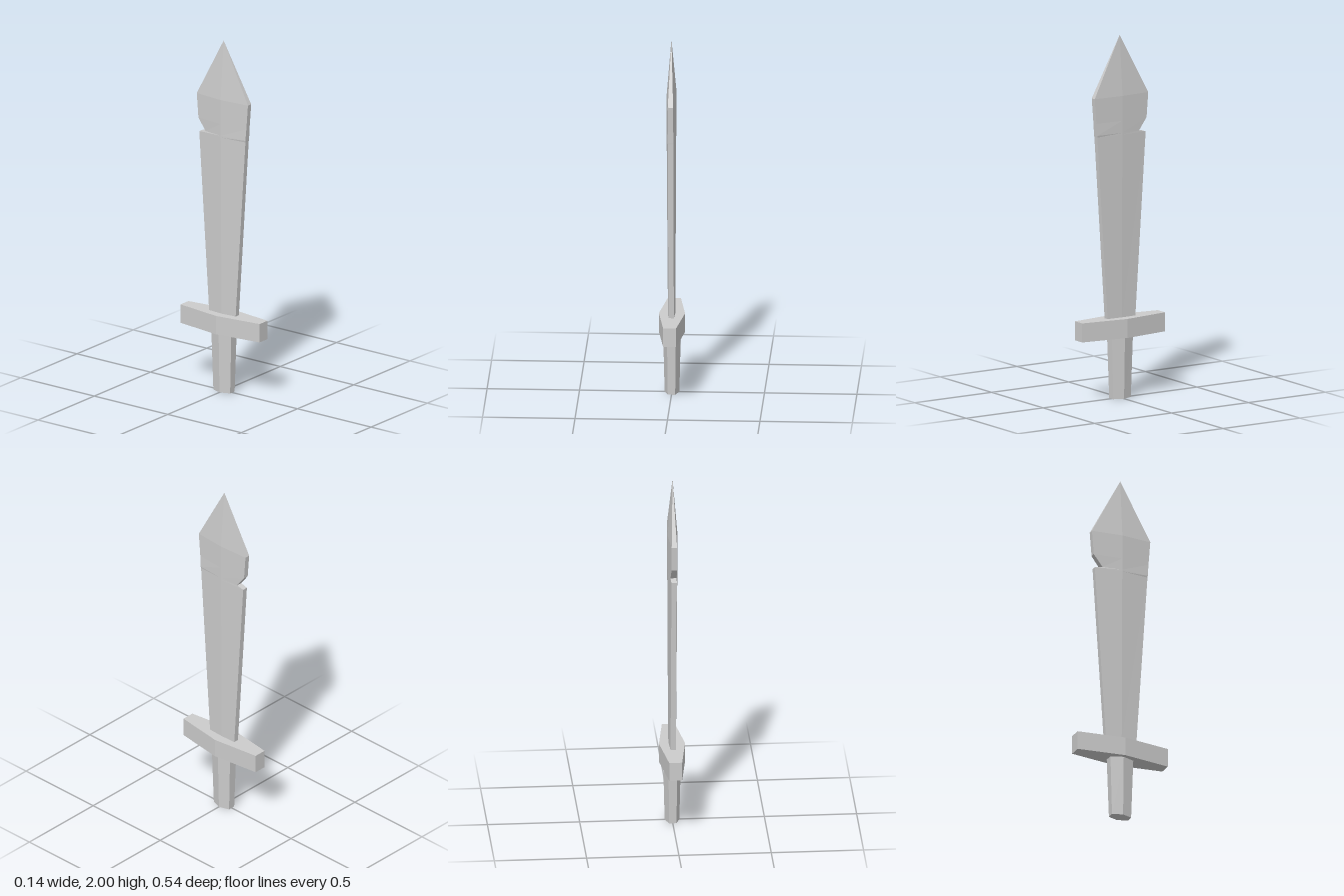
import * as THREE from 'three';

// Six-sided section: a ridge on each side at z = 0 and a flat edge at front and back
function ring({ y, front, back = front, ridge, edge, cx = 0 }) {
  return [
    [cx + ridge, 0], [edge, -back], [-edge, -back],
    [cx - ridge, 0], [-edge, front], [edge, front],
  ].map(([x, z]) => new THREE.Vector3(x, y, z));
}

// Joins the sections from bottom to top with flat faces; an optional tip closes it to a point
function loft(name, sections, material, tip) {
  const rings = sections.map(ring);
  const pos = [];
  const tri = (...points) => points.forEach((p) => pos.push(p.x, p.y, p.z));
  for (let k = 0; k < rings.length - 1; k++) {
    const lo = rings[k], hi = rings[k + 1];
    for (let i = 0; i < 6; i++) {
      const j = (i + 1) % 6;
      tri(lo[i], lo[j], hi[j]);
      tri(lo[i], hi[j], hi[i]);
    }
  }
  const bottom = rings[0], top = rings[rings.length - 1];
  for (let i = 1; i < 5; i++) {
    tri(bottom[0], bottom[i + 1], bottom[i]);
    if (!tip) tri(top[0], top[i], top[i + 1]);
  }
  if (tip) for (let i = 0; i < 6; i++) tri(top[i], top[(i + 1) % 6], tip);

  const geometry = new THREE.BufferGeometry();
  geometry.setAttribute('position', new THREE.Float32BufferAttribute(pos, 3));
  geometry.computeVertexNormals();
  const mesh = new THREE.Mesh(geometry, material);
  mesh.name = name;
  return mesh;
}

export function createModel() {
  const group = new THREE.Group();
  group.name = 'sword';
  const material = new THREE.MeshStandardMaterial({ color: 0xcccccc, flatShading: true });

  // Tapered grip
  group.add(loft('grip', [
    { y: 0, front: 0.057, ridge: 0.04, edge: 0.02 },
    { y: 0.34, front: 0.068, ridge: 0.048, edge: 0.024 },
  ], material));

  // Crossguard, widest in the middle
  group.add(loft('crossguard', [
    { y: 0.34, front: 0.269, ridge: 0.071, edge: 0.035 },
    { y: 0.445, front: 0.269, ridge: 0.071, edge: 0.035 },
  ], material));

  // Blade widening upwards, with a notch in its back edge and a pointed tip
  group.add(loft('blade', [
    { y: 0.44, front: 0.09, ridge: 0.02, edge: 0.0145, cx: -0.002 },
    { y: 1.453, front: 0.157, ridge: 0.026, edge: 0.0145, cx: -0.003 },
    { y: 1.463, front: 0.158, back: 0.113, ridge: 0.026, edge: 0.0165, cx: -0.003 },
    { y: 1.53, front: 0.163, ridge: 0.0265, edge: 0.0145, cx: -0.003 },
    { y: 1.667, front: 0.174, ridge: 0.0275, edge: 0.0145, cx: -0.003 },
  ], material, new THREE.Vector3(-0.003, 2, 0)));

  return group;
}
